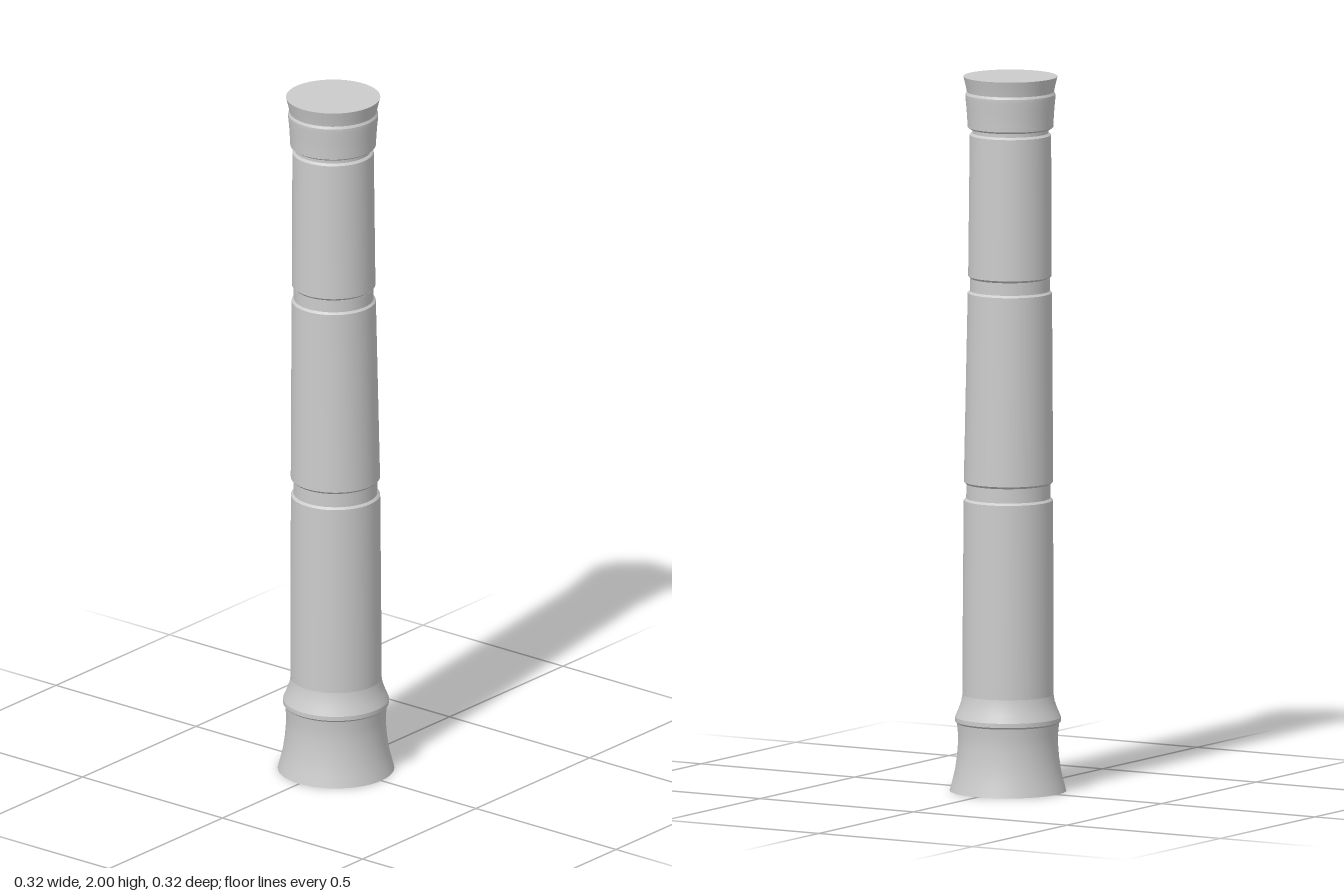
import * as THREE from 'three';
import { mergeGeometries } from 'three/addons/utils/BufferGeometryUtils.js';

const SEGMENTS = 48;
const material = new THREE.MeshStandardMaterial({ color: 0xcccccc });

// The axis drifts forward with height, so the front stays straight while the back tapers.
const DRIFT = [[0, 0], [0.25, 0], [0.82, 0.002], [1.4, 0.01], [1.85, 0.013], [2, 0.0125]];
function drift(y) {
  for (let i = 1; i < DRIFT.length; i++) {
    const [y0, z0] = DRIFT[i - 1], [y1, z1] = DRIFT[i];
    if (y <= y1) return z0 + (z1 - z0) * (y - y0) / (y1 - y0);
  }
  return DRIFT[DRIFT.length - 1][1];
}

// Each run is a smooth [radius, height] profile; edges between runs stay sharp.
function turned(name, runs) {
  const geometry = mergeGeometries(runs.map((run) =>
    new THREE.LatheGeometry(run.map(([r, y]) => new THREE.Vector2(r, y)), SEGMENTS)));
  const pos = geometry.attributes.position;
  for (let i = 0; i < pos.count; i++) pos.setZ(i, pos.getZ(i) + drift(pos.getY(i)));
  const mesh = new THREE.Mesh(geometry, material);
  mesh.name = name;
  return mesh;
}

// Straight drum with small bevelled ends
function drum(name, y0, r0, y1, r1) {
  const b = 0.006;
  return turned(name, [
    [[r0 - b, y0], [r0, y0 + b]],
    [[r0, y0 + b], [r1, y1 - b]],
    [[r1, y1 - b], [r1 - b, y1]],
  ]);
}

// Recessed band with flat ledges reaching out to the drums
function groove(name, y0, y1, r, below, above) {
  return turned(name, [
    [[below, y0], [r, y0]],
    [[r, y0], [r, y1]],
    [[r, y1], [above, y1]],
  ]);
}

export function createModel() {
  const group = new THREE.Group();
  group.name = 'column';

  group.add(
    // Flared foot, closed underneath
    turned('base', [
      [[0, 0], [0.162, 0]],
      [[0.162, 0], [0.154, 0.03], [0.147, 0.06], [0.142, 0.095], [0.139, 0.13], [0.139, 0.16], [0.142, 0.19]],
    ]),
    // Collar easing into the shaft
    turned('baseCollar', [
      [[0.142, 0.19], [0.147, 0.195]],
      [[0.147, 0.195], [0.147, 0.207]],
      [[0.147, 0.207], [0.138, 0.228], [0.13, 0.25], [0.1265, 0.27]],
    ]),
    // Lower shaft, rising smoothly from the collar
    turned('lowerDrum', [
      [[0.1265, 0.27], [0.126, 0.5], [0.124, 0.814]],
      [[0.124, 0.814], [0.118, 0.82]],
    ]),
    groove('lowerGroove', 0.82, 0.86, 0.117, 0.118, 0.118),
    drum('middleDrum', 0.86, 0.124, 1.4, 0.117),
    groove('upperGroove', 1.4, 1.435, 0.111, 0.111, 0.11),
    drum('upperDrum', 1.435, 0.116, 1.842, 0.113),
    groove('neckGroove', 1.842, 1.853, 0.106, 0.107, 0.112),
    // Swelling capital
    turned('capital', [
      [[0.112, 1.853], [0.119, 1.858]],
      [[0.119, 1.858], [0.12, 1.88], [0.122, 1.91], [0.125, 1.94], [0.125, 1.95]],
      [[0.125, 1.95], [0.121, 1.957]],
    ]),
    // Flared top slab, closed above
    turned('capitalTop', [
      [[0.121, 1.957], [0.124, 1.972], [0.131, 2]],
      [[0.131, 2], [0, 2]],
    ]),
  );
  return group;
}
